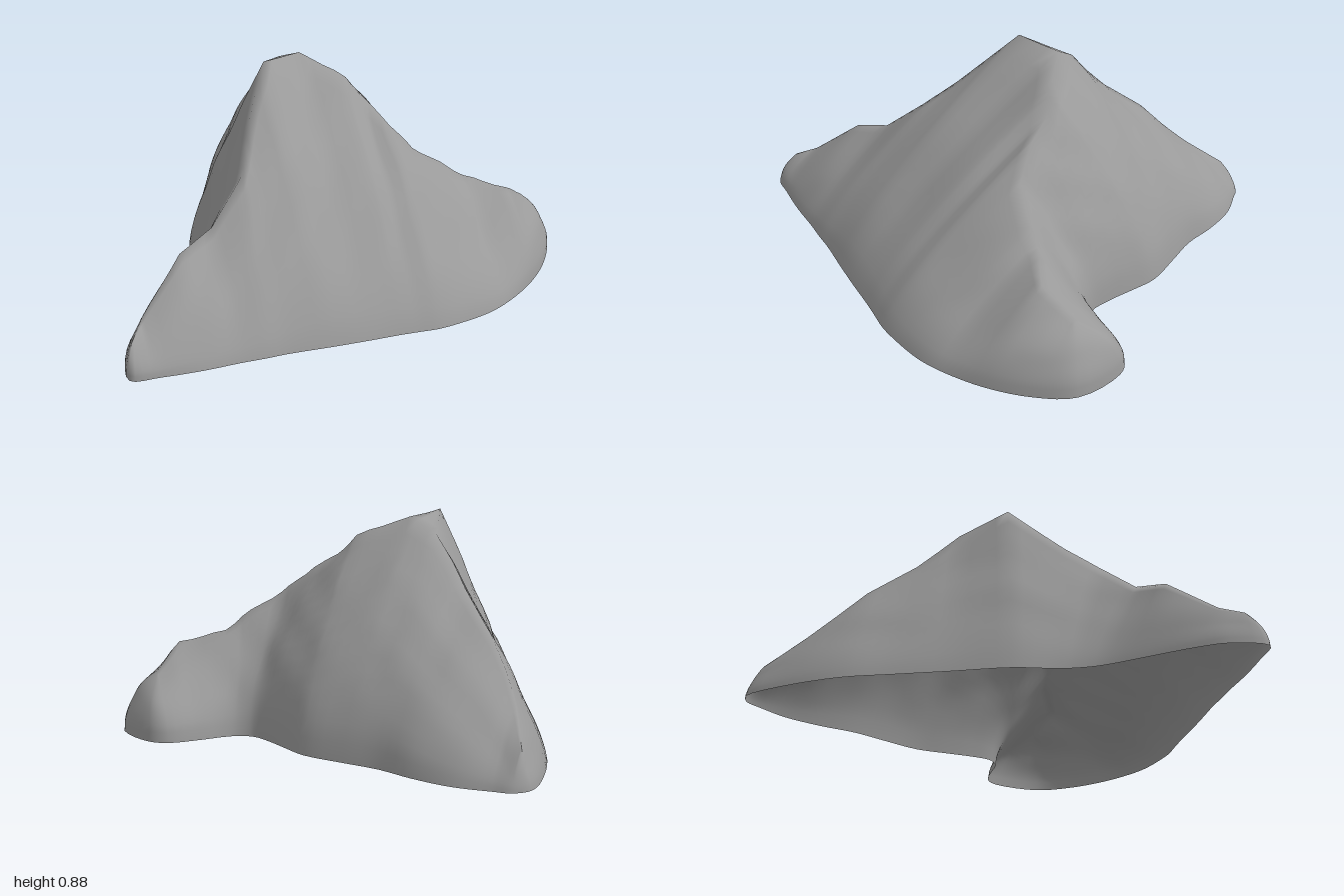
import * as THREE from 'three';
import { mergeVertices } from 'three/addons/utils/BufferGeometryUtils.js';

// Crest points: f = front ridge, r = ridge to the -x back corner,
// l = ridge to the +x back lobe, p/q = summit
const crest = {
  f1: [0.04, 0.145, 0.92], f2: [0, 0.18, 0.83], f3: [-0.02, 0.35, 0.6],
  f4: [0.01, 0.41, 0.42], f5: [-0.01, 0.55, 0.24], f6: [-0.08, 0.66, 0.11],
  p: [-0.2, 0.88, -0.12], q: [-0.17, 0.86, -0.32],
  r1: [-0.9, 0.13, -0.83], r2: [-0.8, 0.25, -0.69], r3: [-0.63, 0.46, -0.52],
  r4: [-0.46, 0.61, -0.41], r5: [-0.29, 0.8, -0.33],
  l1: [0.04, 0.785, -0.39], l2: [0.12, 0.71, -0.42], l3: [0.24, 0.655, -0.42],
  l4: [0.38, 0.54, -0.44], l5: [0.5, 0.44, -0.54], l6: [0.54, 0.385, -0.6],
  l7: [0.7, 0.34, -0.7], l8: [0.71, 0.25, -0.84],
};

// Footprint points [x, z], the crest point each one climbs to and,
// where it differs from its face, the steepness of the climb (lower is steeper)
const faces = [
  { curve: 0.77, rows: [ // +x face
    [0.08, 0.995, 'f1', 0.5], [0.16, 0.9, 'f2', 0.6], [0.26, 0.76, 'f3'],
    [0.34, 0.63, 'f4'], [0.4, 0.54, 'f5'], [0.45, 0.46, 'f6'], [0.55, 0.32, 'p'],
    [0.64, 0.19, 'q'], [0.72, 0.07, 'l1'], [0.77, 0, 'l2'], [0.82, -0.07, 'l3'],
    [0.87, -0.17, 'l4'], [0.92, -0.3, 'l5', 0.73], [0.94, -0.42, 'l6', 0.7],
    [0.94, -0.6, 'l7', 0.6]] },
  { curve: 0.67, rows: [ // lobe and back face
    [0.9, -0.78, 'l8', 0.5], [0.82, -0.92, 'l8', 0.5], [0.62, -1, 'l8', 0.5],
    [0.54, -0.98, 'l8', 0.5], [0.46, -0.88, 'l7', 0.55], [0.41, -0.8, 'l6', 0.6],
    [0.37, -0.76, 'l5', 0.6], [0.31, -0.74, 'l4', 0.6], [0.21, -0.77, 'l3', 0.62],
    [0.1, -0.82, 'l2', 0.65], [-0.02, -0.87, 'l1'], [-0.2, -0.885, 'q'],
    [-0.36, -0.895, 'r5'], [-0.52, -0.935, 'r4'], [-0.69, -0.955, 'r3', 0.72],
    [-0.83, -0.935, 'r2', 0.72], [-0.9, -0.92, 'r1']] },
  { curve: 0.8, rows: [ // -x face
    [-0.945, -0.86, 'r1', 0.6], [-0.91, -0.67, 'r2', 0.7], [-0.81, -0.42, 'r3'],
    [-0.69, -0.245, 'r4'], [-0.56, -0.06, 'r5'], [-0.42, 0.145, 'p'],
    [-0.3, 0.26, 'f6'], [-0.25, 0.32, 'f5'], [-0.2, 0.41, 'f4'], [-0.15, 0.58, 'f3'],
    [-0.09, 0.79, 'f2', 0.6], [-0.04, 0.9, 'f1', 0.5]] },
];

const point = (name) => new THREE.Vector3(...crest[name]);

// Gentle uneven surface, a function of position so the faces meet at the crests
function roughen(v, amount) {
  const { x, y, z } = v;
  const d = amount * (0.006 * Math.sin(11 * x + 5 * y + 2) * Math.sin(9 * z - 7 * y)
    + 0.004 * Math.sin(23 * x - 13 * z) * Math.sin(17 * y + 8 * z + 1));
  return v.set(x + d, Math.max(0, y + d), z - d);
}

// Adds a grid of points, column by column, with two triangles per cell
function addGrid(positions, indices, columns, steps, at) {
  const first = positions.length / 3;
  for (let i = 0; i <= columns; i++) {
    for (let j = 0; j <= steps; j++) positions.push(...at(i, j));
  }
  for (let i = 0; i < columns; i++) {
    for (let j = 0; j < steps; j++) {
      const a = first + i * (steps + 1) + j, b = a + steps + 1;
      indices.push(a, b, b + 1, a, b + 1, a + 1);
    }
  }
}

function createRockGeometry() {
  const rows = faces.flatMap((face) => face.rows.map(([x, z, name, curve = face.curve]) =>
    ({ foot: new THREE.Vector3(x, 0, z), top: point(name), curve })));
  const n = rows.length, split = 4, steps = 14;
  const outline = new THREE.CatmullRomCurve3(rows.map((row) => row.foot), true);
  const positions = [], indices = [];

  // Sides climbing from the footprint to the crests
  addGrid(positions, indices, n * split, steps, (i, j) => {
    const a = rows[Math.floor(i / split) % n];
    const b = rows[(Math.floor(i / split) + 1) % n];
    const k = (i % split) / split;
    // Rows are packed towards the foot, where the climb is steepest
    const t = Math.pow(j / steps, 1.4);
    const top = a.top.clone().lerp(b.top, k);
    const v = outline.getPoint((i / (n * split)) % 1).lerp(top, t);
    v.y = top.y * Math.pow(t, THREE.MathUtils.lerp(a.curve, b.curve, k));
    return roughen(v, Math.min(1, t * 3));
  });
  // Small sloping summit between the three ridges
  addGrid(positions, indices, split, split, (i, j) =>
    roughen(point('q').lerp(point('r5'), i / split).lerp(point('p'), j / split), 1));

  let geometry = new THREE.BufferGeometry();
  geometry.setAttribute('position', new THREE.Float32BufferAttribute(positions, 3));
  geometry.setIndex(indices);
  // Weld the faces along the crests and drop collapsed triangles
  geometry = mergeVertices(geometry, 1e-4);
  const welded = Array.from(geometry.index.array), kept = [];
  for (let i = 0; i < welded.length; i += 3) {
    const [a, b, c] = welded.slice(i, i + 3);
    if (a !== b && b !== c && c !== a) kept.push(a, b, c);
  }
  geometry.setIndex(kept);
  geometry.computeVertexNormals();
  return geometry;
}

export function createModel() {
  const group = new THREE.Group();
  group.name = 'rock';
  // Hollow shell, open underneath
  const shell = new THREE.Mesh(createRockGeometry(),
    new THREE.MeshStandardMaterial({ color: 0x9a9a9a, side: THREE.DoubleSide }));
  shell.name = 'rockShell';
  group.add(shell);
  return group;
}
